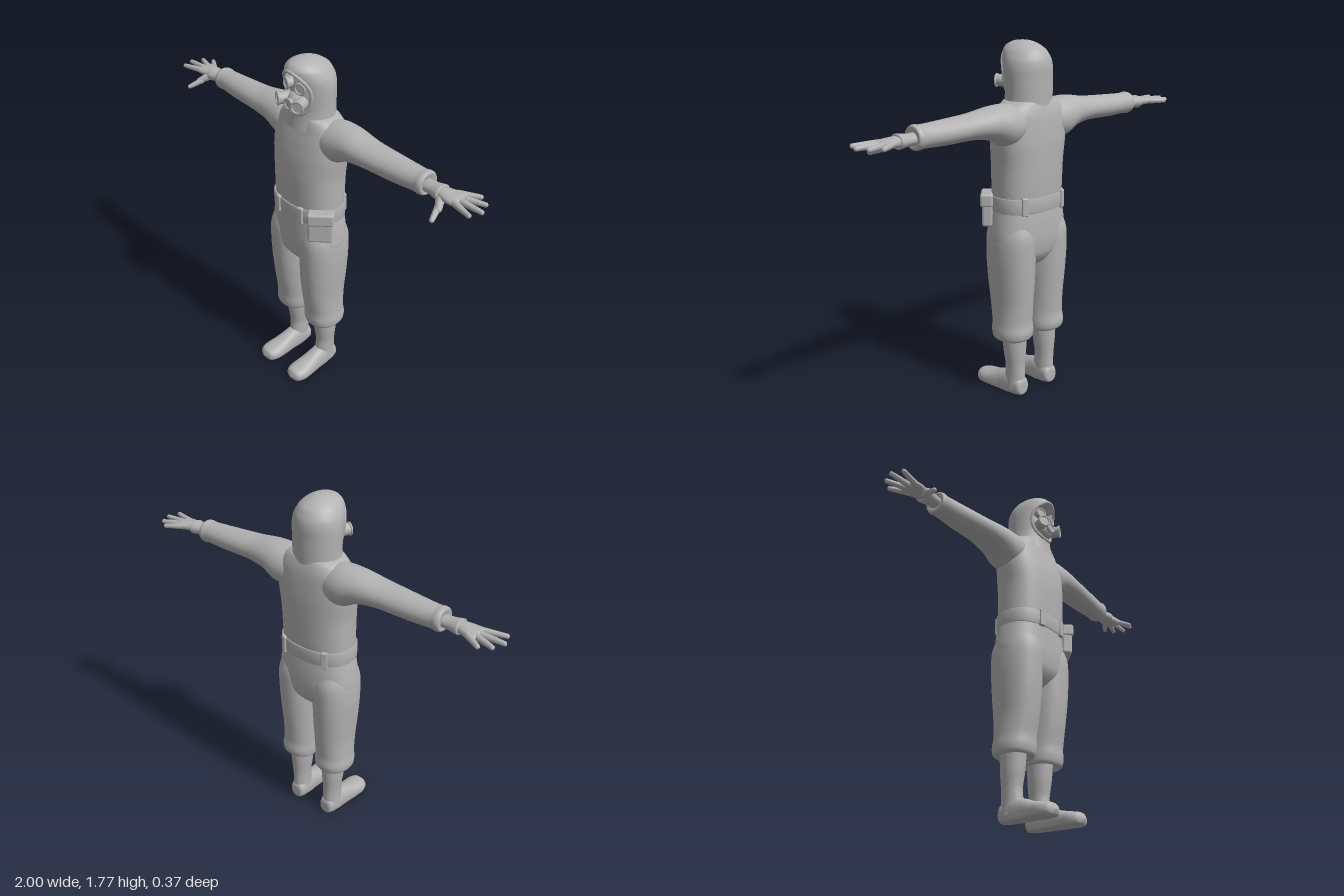
import * as THREE from 'three';
import { RoundedBoxGeometry } from 'three/addons/geometries/RoundedBoxGeometry.js';

const grey = new THREE.MeshStandardMaterial({ color: 0xb2b2b2, side: THREE.DoubleSide });
grey.name = 'plain grey';

// Superelliptic cross-section point; ring = [height, cx, cz, rx, rz]
const power = (v, n) => Math.sign(v) * Math.pow(Math.abs(v), 2 / n);
function sectionPoint([y, cx, cz, rx, rz], angle, n) {
  return new THREE.Vector3(cx + rx * power(Math.sin(angle), n), y, cz + rz * power(Math.cos(angle), n));
}

// Smooth curve through rings
function ringCurves(rings) {
  const place = new THREE.CatmullRomCurve3(rings.map(r => new THREE.Vector3(r[0], r[1], r[2])), false, 'catmullrom', 0.4);
  const size = new THREE.CatmullRomCurve3(rings.map(r => new THREE.Vector3(r[3], r[4], 0)), false, 'catmullrom', 0.4);
  return t => {
    const p = place.getPoint(t), s = size.getPoint(t);
    return [p.x, p.y, p.z, Math.max(s.x, 0.0005), Math.max(s.y, 0.0005)];
  };
}

// Skin rings stacked along +y; gap(y) leaves a front opening of that half angle
function loft(rings, { n = 2, seg = 32, rows = 5, gap = null } = {}) {
  const at = ringCurves(rings), total = (rings.length - 1) * rows;
  const cols = gap ? seg + 1 : seg, pos = [], index = [];
  for (let i = 0; i <= total; i++) {
    const ring = at(i / total), a = gap ? gap(ring[0]) : 0;
    for (let j = 0; j < cols; j++) pos.push(...sectionPoint(ring, a + (2 * Math.PI - 2 * a) * j / seg, n).toArray());
  }
  for (let i = 0; i < total; i++) for (let j = 0; j < seg; j++) {
    const a = i * cols + j, b = i * cols + (j + 1) % cols;
    index.push(a, b, a + cols, b, b + cols, a + cols);
  }
  const g = new THREE.BufferGeometry();
  g.setAttribute('position', new THREE.Float32BufferAttribute(pos, 3));
  g.setIndex(index);
  g.computeVertexNormals();
  return g;
}

// Tapered round-ended rod between two points
function finger(a, b, r0, r1) {
  const from = new THREE.Vector3(...a), dir = new THREE.Vector3(...b).sub(from), l = dir.length();
  const g = loft([[0, 0, 0, r0, r0], [l * 0.5, 0, 0, (r0 + r1) / 2, (r0 + r1) / 2], [l - r1, 0, 0, r1, r1],
    [l - r1 * 0.3, 0, 0, r1 * 0.7, r1 * 0.7], [l, 0, 0, 0, 0]], { seg: 12, rows: 3 });
  g.applyQuaternion(new THREE.Quaternion().setFromUnitVectors(new THREE.Vector3(0, 1, 0), dir.normalize()));
  return g.translate(...a);
}

function mirrorX(source) {
  const g = source.clone().scale(-1, 1, 1), ix = g.index.array;
  for (let i = 0; i < ix.length; i += 3) [ix[i], ix[i + 1]] = [ix[i + 1], ix[i]];
  g.computeVertexNormals();
  return g;
}

export function createModel() {
  const model = new THREE.Group();
  model.name = 'figure in protective suit';
  const add = (name, g) => {
    const m = new THREE.Mesh(g, grey);
    m.name = name;
    model.add(m);
    return m;
  };
  const pair = (name, g) => { add('left ' + name, g); add('right ' + name, mirrorX(g)); };

  // Suit body, crotch to shoulders
  add('suit body', loft([
    [0.665, 0, -0.045, 0, 0], [0.69, 0, -0.045, 0.09, 0.075], [0.75, 0, -0.046, 0.19, 0.122],
    [0.83, 0, -0.047, 0.212, 0.135], [0.92, 0, -0.047, 0.202, 0.134], [1.0, 0, -0.045, 0.188, 0.13],
    [1.08, 0, -0.046, 0.188, 0.134], [1.2, 0, -0.047, 0.19, 0.137], [1.3, 0, -0.052, 0.202, 0.133],
    [1.38, 0, -0.058, 0.205, 0.122], [1.44, 0, -0.063, 0.195, 0.11], [1.485, 0, -0.06, 0.155, 0.1],
    [1.505, 0, -0.055, 0.1, 0.09], [1.505, 0, -0.055, 0, 0]], { n: 2.4, seg: 48 }));

  // Baggy trouser legs with gathered cuffs
  pair('trouser leg', loft([
    [0.325, 0.108, -0.055, 0.05, 0.05], [0.305, 0.108, -0.055, 0.08, 0.085], [0.318, 0.109, -0.056, 0.094, 0.1],
    [0.35, 0.109, -0.056, 0.097, 0.106], [0.4, 0.107, -0.053, 0.094, 0.103], [0.5, 0.105, -0.048, 0.094, 0.115],
    [0.62, 0.107, -0.046, 0.101, 0.126], [0.74, 0.109, -0.046, 0.105, 0.132], [0.85, 0.107, -0.046, 0.102, 0.132],
    [0.95, 0.1, -0.046, 0.075, 0.1]], { n: 2.2 }));

  // Boots: shaft and flat-soled foot
  pair('boot shaft', loft([
    [0.03, 0.105, -0.07, 0.045, 0.055], [0.1, 0.104, -0.068, 0.044, 0.056], [0.16, 0.105, -0.07, 0.046, 0.053],
    [0.24, 0.105, -0.067, 0.055, 0.061], [0.33, 0.105, -0.065, 0.06, 0.066]]));
  const foot = loft([
    [-0.13, 0, -0.04, 0, 0], [-0.128, 0, -0.04, 0.03, 0.035], [-0.11, 0, -0.045, 0.042, 0.05],
    [-0.05, 0, -0.045, 0.046, 0.07], [0.01, 0, -0.035, 0.047, 0.066], [0.07, 0, -0.028, 0.054, 0.051],
    [0.13, 0, -0.025, 0.058, 0.041], [0.17, 0, -0.025, 0.042, 0.031], [0.187, 0, -0.025, 0, 0]], { n: 2.3 });
  foot.rotateX(Math.PI / 2);
  const fp = foot.attributes.position;
  for (let i = 0; i < fp.count; i++) fp.setY(i, Math.max(fp.getY(i), 0.002));
  foot.rotateY(0.03).translate(0.105, 0, 0).computeVertexNormals();
  pair('boot foot', foot);

  // Sleeves
  pair('sleeve', loft([
    [0.06, -1.4, -0.07, 0.07, 0.08], [0.14, -1.395, -0.07, 0.098, 0.1], [0.2, -1.4, -0.072, 0.098, 0.102],
    [0.27, -1.415, -0.07, 0.078, 0.093], [0.38, -1.415, -0.067, 0.061, 0.082], [0.55, -1.41, -0.072, 0.057, 0.069],
    [0.66, -1.41, -0.076, 0.053, 0.059], [0.69, -1.41, -0.077, 0.057, 0.061], [0.708, -1.41, -0.077, 0.05, 0.053],
    [0.705, -1.41, -0.077, 0.025, 0.03]]).rotateZ(-Math.PI / 2));

  // Gloves: flared cuff, palm, four fingers and thumb
  pair('glove cuff', loft([
    [0.68, -1.405, -0.075, 0.026, 0.034], [0.74, -1.405, -0.075, 0.028, 0.037], [0.785, -1.405, -0.075, 0.034, 0.046],
    [0.79, -1.405, -0.075, 0.022, 0.03]], { seg: 24 }).rotateZ(-Math.PI / 2));
  pair('glove palm', loft([
    [0.76, -1.406, -0.075, 0.023, 0.03], [0.8, -1.406, -0.076, 0.023, 0.04], [0.84, -1.406, -0.08, 0.02, 0.051],
    [0.875, -1.406, -0.083, 0.016, 0.05], [0.892, -1.406, -0.083, 0, 0]], { n: 2.3, seg: 24 }).rotateZ(-Math.PI / 2));
  [[0.835, -0.115, 0.925, -0.172], [0.86, -0.098, 0.975, -0.138], [0.865, -0.078, 1, -0.078], [0.86, -0.05, 0.98, -0.018]]
    .forEach(([x0, z0, x1, z1], i) =>
      pair('glove finger ' + (i + 1), finger([x0, 1.407, z0], [x1, 1.405, z1], 0.016, 0.011)));
  pair('glove thumb base', finger([0.79, 1.4, -0.06], [0.835, 1.365, 0.005], 0.022, 0.015));
  pair('glove thumb', finger([0.815, 1.375, -0.02], [0.845, 1.345, 0.058], 0.016, 0.011));

  // Belt and its loops
  const waist = [1.007, 0, -0.045, 0.196, 0.138];
  const belt = [[0.972, 0.186, 0.126], [0.972, 0.196, 0.137], [1.042, 0.196, 0.139], [1.042, 0.186, 0.128]];
  add('belt', loft(belt.map(([y, rx, rz]) => [y, 0, -0.045, rx, rz]), { n: 2.4, seg: 48, rows: 2 }));
  [-0.34, 0.34, Math.PI - 0.62, Math.PI + 0.62].forEach((a, i) => {
    const p = sectionPoint(waist, a, 2.4), q = sectionPoint(waist, a + 0.02, 2.4).sub(p);
    const clip = add('belt loop ' + (i + 1), new RoundedBoxGeometry(0.032, 0.09, 0.02, 2, 0.006));
    clip.position.copy(p);
    clip.rotation.y = Math.atan2(-q.z, q.x);
  });

  // Pouch turned out over the left hip
  const pouch = new THREE.Group();
  pouch.name = 'belt pouch';
  [['pouch bag', 0.122, 0.15, 0.052, 0, -0.005, 0], ['pouch flap', 0.13, 0.065, 0.062, 0, 0.05, 0.003]]
    .forEach(([name, w, h, d, x, y, z]) => {
      const m = add(name, new RoundedBoxGeometry(w, h, d, 3, 0.012));
      m.position.set(x, y, z);
      pouch.add(m);
    });
  pouch.position.set(0.178, 0.975, 0.045);
  pouch.rotation.y = Math.PI / 4;
  model.add(pouch);

  // Hood with an arched face opening
  const hoodRings = [
    [1.44, 0, -0.052, 0.135, 0.112], [1.49, 0, -0.055, 0.122, 0.108], [1.54, 0, -0.057, 0.12, 0.107],
    [1.6, 0, -0.054, 0.122, 0.11], [1.65, 0, -0.05, 0.122, 0.115], [1.69, 0, -0.042, 0.115, 0.117],
    [1.73, 0, -0.028, 0.095, 0.109], [1.755, 0, -0.018, 0.068, 0.082], [1.77, 0, -0.016, 0.035, 0.045],
    [1.775, 0, -0.016, 0, 0]];
  const gap = y => 0.79 * Math.sqrt(Math.max(0, 1 - ((y - 1.62) / 0.108) ** 2));
  add('hood', loft(hoodRings, { gap, seg: 48, rows: 8 }));
  const hoodAt = ringCurves(hoodRings), edge = [];
  for (let i = 0; i <= 160; i++) {
    const ring = hoodAt(i / 160), a = gap(ring[0]);
    if (a > 0.08) edge.push(sectionPoint(ring, a, 2));
  }
  const rim = [...edge, ...edge.slice().reverse().map(p => new THREE.Vector3(-p.x, p.y, p.z))];
  add('hood rim', new THREE.TubeGeometry(new THREE.CatmullRomCurve3(rim, true), 120, 0.009, 8, true));

  // Face under the mask
  const face = add('mask face', new THREE.SphereGeometry(1, 32, 24));
  face.scale.set(0.098, 0.125, 0.098);
  face.position.set(0, 1.62, -0.05);

  // Mask fittings: round goggles, snout and two filter canisters
  const fitting = (name, x, y, z, r, depth, turn) => {
    const unit = new THREE.Group();
    unit.name = name;
    const body = add(name + ' body', new THREE.CylinderGeometry(r, r * 1.08, depth, 28).rotateX(Math.PI / 2));
    const ring = add(name + ' ring', new THREE.TorusGeometry(r, 0.0055, 8, 28));
    ring.position.z = depth / 2;
    unit.add(body, ring);
    unit.position.set(x, y, z);
    unit.rotation.y = turn;
    model.add(unit);
  };
  for (const s of [1, -1]) {
    const side = s > 0 ? 'left ' : 'right ';
    fitting(side + 'goggle', s * 0.041, 1.652, 0.042, 0.025, 0.035, s * 0.3);
    fitting(side + 'filter', s * 0.054, 1.58, 0.066, 0.028, 0.06, s * 0.45);
  }
  fitting('mask valve', 0, 1.572, 0.062, 0.024, 0.05, 0);
  const snout = add('mask snout', new THREE.SphereGeometry(1, 24, 16));
  snout.scale.set(0.055, 0.052, 0.055);
  snout.position.set(0, 1.572, 0.025);
  return model;
}
